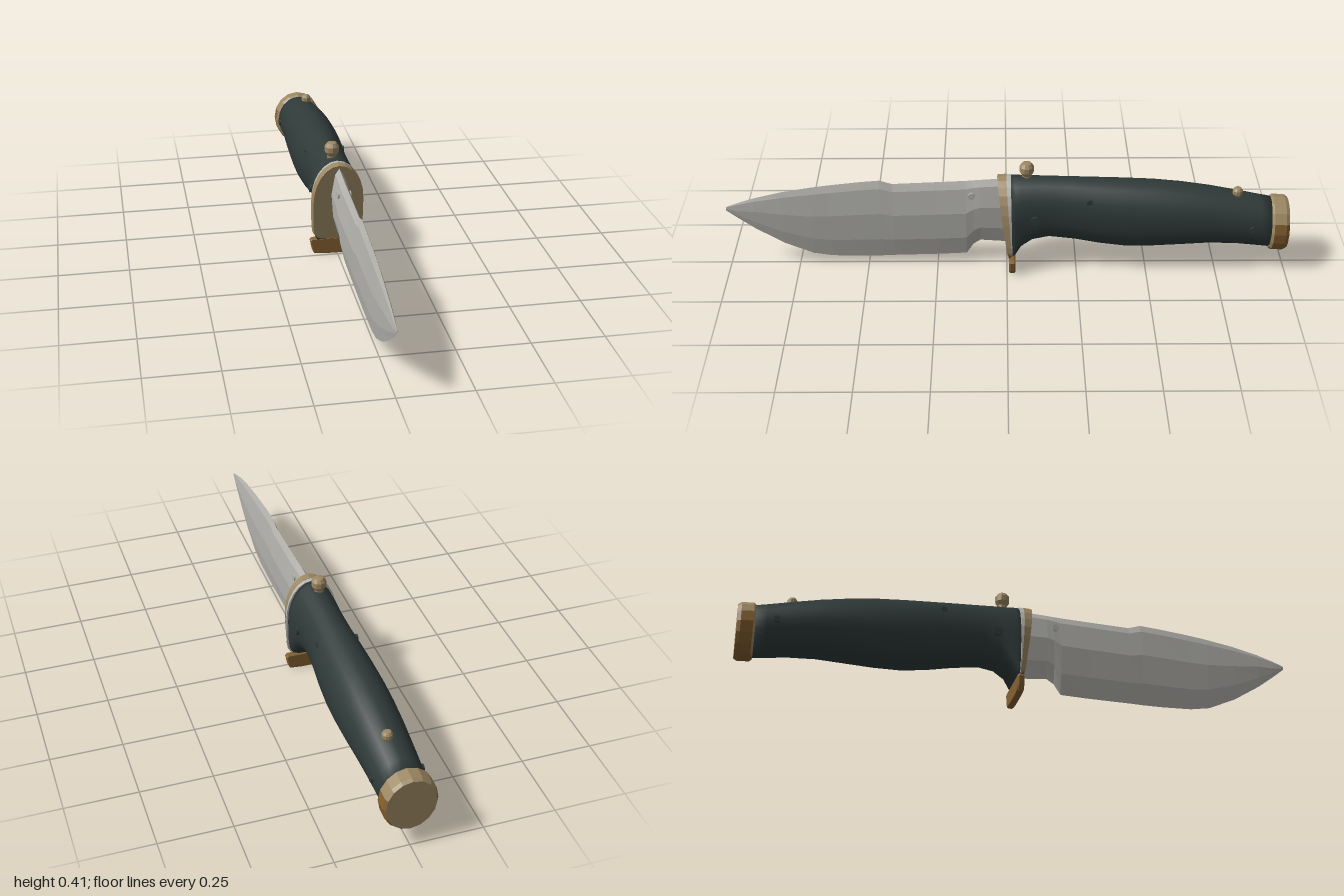
import * as THREE from 'three';

const mat = (name, color) => {
  const m = new THREE.MeshStandardMaterial({ color });
  m.name = name;
  return m;
};

// Skin a list of rings (counter-clockwise seen from +z, ordered front to back), with end caps
function loft(rings, flat) {
  const n = rings[0].length, pos = [], idx = [];
  rings.forEach(r => r.forEach(p => pos.push(...p)));
  for (let i = 0; i < rings.length - 1; i++) {
    for (let j = 0; j < n; j++) {
      const a = i * n + j, b = i * n + (j + 1) % n;
      idx.push(a, a + n, b, b, a + n, b + n);
    }
  }
  const cap = (r, start, front) => {
    const c = pos.length / 3;
    const mid = k => r.reduce((s, p) => s + p[k], 0) / n;
    pos.push(mid(0), mid(1), mid(2));
    for (let j = 0; j < n; j++) {
      const a = start + j, b = start + (j + 1) % n;
      idx.push(c, front ? a : b, front ? b : a);
    }
  };
  cap(rings[0], 0, true);
  cap(rings[rings.length - 1], (rings.length - 1) * n, false);
  let g = new THREE.BufferGeometry();
  g.setAttribute('position', new THREE.Float32BufferAttribute(pos, 3));
  g.setIndex(idx);
  if (flat) g = g.toNonIndexed();
  g.computeVertexNormals();
  return g;
}

// Domed ring: elliptical top, underside squared off by `square` (1 = ellipse, 0.3 = boxy)
function domeRing(z, top, bot, w, square = 1, lean = 0, n = 24) {
  const mid = (top + bot) / 2, h = (top - bot) / 2, ring = [];
  for (let j = 0; j < n; j++) {
    const t = j / n * Math.PI * 2, c = Math.cos(t), s = Math.sin(t);
    const e = s < -1e-6 ? square : 1;
    const x = w * Math.sign(c) * Math.abs(c) ** e;
    const y = mid + h * Math.sign(s) * Math.abs(s) ** e;
    ring.push([x, y, z + lean * (y - top)]);
  }
  return ring;
}

export function createModel() {
  const steel = mat('steel', 0xb4b3ae);
  const grip = mat('darkGrip', 0x2f3a39);
  const brass = mat('brass', 0x9c8763);
  const bronze = mat('bronze', 0x85602f);
  const model = new THREE.Group();
  const add = (name, geo, material) => {
    const m = new THREE.Mesh(geo, material);
    m.name = name;
    model.add(m);
    return m;
  };

  // Blade: z, spine height, edge height, half thickness
  const blade = [
    [1, 0.236, 0.222, 0.001], [0.96, 0.252, 0.19, 0.005], [0.9, 0.272, 0.145, 0.009],
    [0.8, 0.297, 0.083, 0.013], [0.7, 0.315, 0.04, 0.016], [0.63, 0.325, 0.029, 0.017],
    [0.52, 0.338, 0.027, 0.019], [0.45, 0.344, 0.028, 0.02], [0.405, 0.33, 0.03, 0.021],
    [0.25, 0.337, 0.034, 0.023], [0.145, 0.342, 0.039, 0.025], [0.12, 0.344, 0.078, 0.025],
    [0.095, 0.346, 0.095, 0.026], [0.0, 0.352, 0.088, 0.026],
  ].map(([z, top, bot, w]) => {
    const h = top - bot, ridge = bot + h * (z > 0.95 ? 0.5 : 0.6);
    return [[w, ridge], [w * 0.55, top - h * 0.09], [0, top], [-w * 0.55, top - h * 0.09],
      [-w, ridge], [-w * 0.7, bot + h * 0.25], [0, bot], [w * 0.7, bot + h * 0.25]]
      .map(([x, y]) => [x, y, z]);
  });
  add('blade', loft(blade, true), steel);

  // Collar between blade and handle, leaning back towards the bottom
  add('collar', loft([
    domeRing(0.034, 0.36, 0.062, 0.09, 0.35, 0.13),
    domeRing(0.002, 0.362, 0.06, 0.095, 0.35, 0.07),
  ], true), brass);
  add('spacer', loft([
    domeRing(0.003, 0.361, 0.062, 0.094, 0.35, 0.07),
    domeRing(-0.014, 0.361, 0.062, 0.094, 0.35, 0.02),
  ], true), steel);

  // Crossbar under the collar
  const bar = new THREE.Shape([
    [-0.084, 0.005], [-0.04, 0.001], [0.04, 0.001], [0.084, 0.005], [0.092, 0.02],
    [0.099, 0.056], [0.093, 0.064], [-0.093, 0.064], [-0.099, 0.056], [-0.092, 0.02],
  ].map(p => new THREE.Vector2(...p)));
  const barGeo = new THREE.ExtrudeGeometry(bar, {
    depth: 0.014, bevelEnabled: true, bevelThickness: 0.005, bevelSize: 0.004,
    bevelOffset: -0.004, bevelSegments: 1,
  });
  add('crossbar', barGeo, bronze).position.z = -0.026;

  // Handle: z, top, bottom, half width, underside squareness
  const handle = [
    [-0.008, 0.358, 0.05, 0.088, 0.35], [-0.03, 0.359, 0.065, 0.087, 0.4],
    [-0.05, 0.358, 0.094, 0.084, 0.55], [-0.09, 0.357, 0.117, 0.08, 0.7],
    [-0.15, 0.355, 0.124, 0.077, 0.85], [-0.24, 0.352, 0.112, 0.08, 0.9],
    [-0.33, 0.348, 0.096, 0.088, 0.9], [-0.42, 0.344, 0.085, 0.093, 0.9],
    [-0.52, 0.338, 0.086, 0.095, 0.9], [-0.62, 0.327, 0.092, 0.094, 0.9],
    [-0.72, 0.311, 0.098, 0.09, 0.9], [-0.82, 0.291, 0.093, 0.085, 0.95],
    [-0.9, 0.274, 0.082, 0.081, 1], [-0.95, 0.264, 0.076, 0.08, 1],
  ];
  add('handle', loft(handle.map(([z, t, b, w, s]) => domeRing(z, t, b, w, s)), false), grip);

  // Pommel: brass cap, with bronze on the sides and underside of the rim
  const pommel = loft([
    domeRing(-0.938, 0.266, 0.072, 0.083, 1, 0, 16), domeRing(-0.946, 0.273, 0.066, 0.092, 1, 0, 16),
    domeRing(-0.988, 0.27, 0.064, 0.092, 1, 0, 16), domeRing(-1, 0.263, 0.071, 0.085, 1, 0, 16),
  ], true);
  const normals = pommel.attributes.normal;
  for (let i = 0; i < normals.count; i += 3) {
    const onSide = Math.abs(normals.getZ(i)) < 0.6 && normals.getY(i) < 0.25;
    pommel.addGroup(i, 3, onSide ? 1 : 0);
  }
  add('pommel', pommel, [brass, bronze]);

  // Knobs on top: a short stem with a faceted ball
  const knob = (name, x, y, z, r) => {
    const profile = [[0, -1.6], [0.65, -1.6], [0.65, -0.9], [1, -0.35], [1, 0.4], [0.65, 0.9], [0, 1]];
    const geo = new THREE.LatheGeometry(profile.map(p => new THREE.Vector2(p[0] * r, p[1] * r)), 10).toNonIndexed();
    geo.computeVertexNormals();
    add(name, geo, brass).position.set(x, y, z);
  };
  knob('frontKnob', -0.009, 0.385, -0.07, 0.026);
  knob('rearKnob', 0.015, 0.303, -0.815, 0.018);

  // Small pins through the handle and blade, on both sides
  const pin = (name, y, z, half, r, material) => {
    const geo = new THREE.CylinderGeometry(r, r, half * 2, 8);
    geo.rotateZ(Math.PI / 2);
    add(name, geo, material).position.set(0, y, z);
  };
  pin('frontPin', 0.225, -0.1, 0.087, 0.017, grip);
  pin('upperPin', 0.293, -0.29, 0.074, 0.011, grip);
  pin('rearPin', 0.187, -0.868, 0.09, 0.012, grip);
  pin('bladePin', 0.29, 0.125, 0.024, 0.013, steel);

  return model;
}
